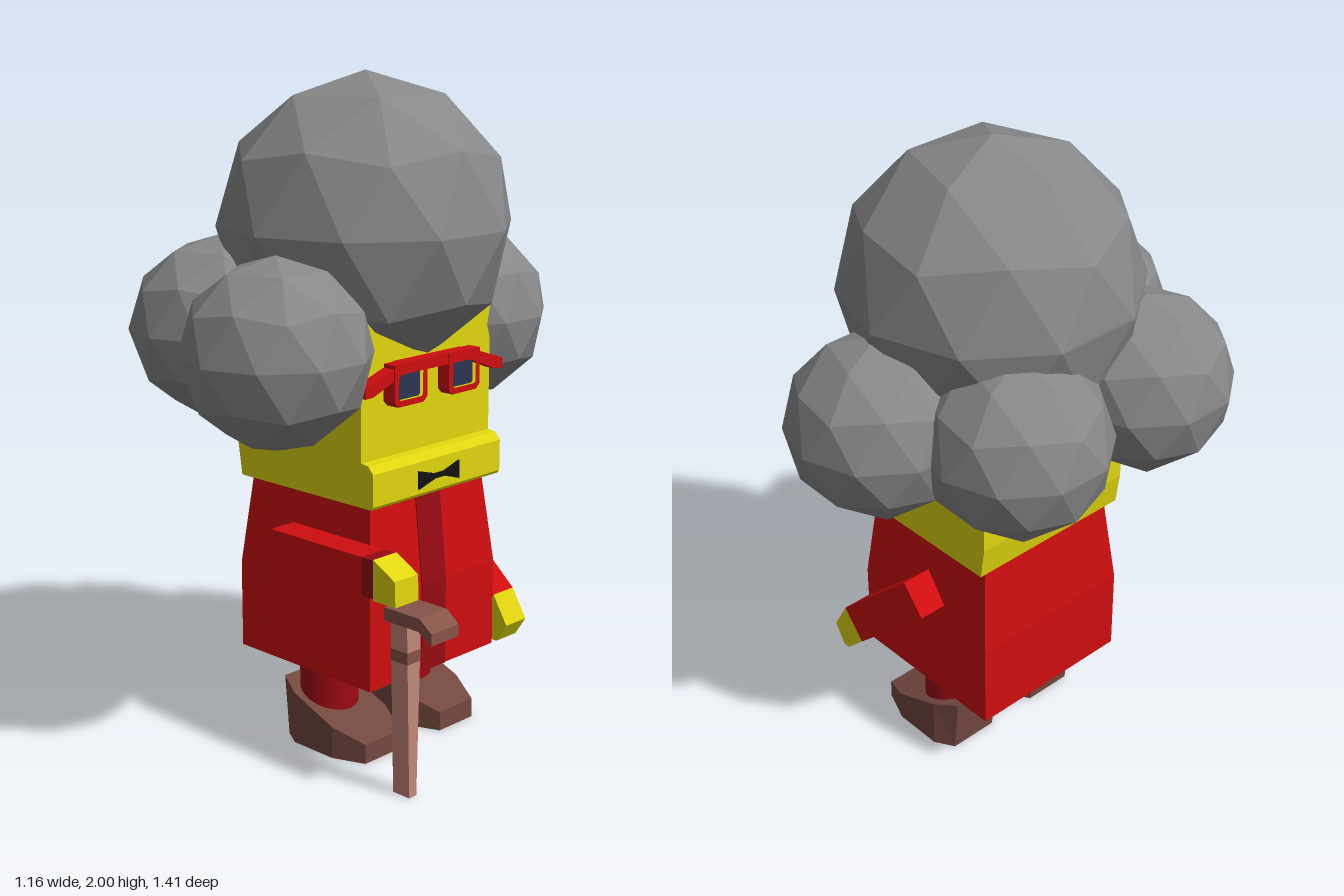
import * as THREE from 'three';

const mat = (color) => new THREE.MeshStandardMaterial({ color, flatShading: true, roughness: 1 });

export function createModel() {
  const group = new THREE.Group();
  const midZ = -0.04; // the figure looks along +x, its middle plane is z = -0.04
  const red = mat(0xcf0d10), darkRed = mat(0x960a12), yellow = mat(0xe0d50e);
  const hairGrey = mat(0x888888), shoeBrown = mat(0x74493f), handleBrown = mat(0x865448);
  const tan = mat(0xc4877a), black = mat(0x111111), navy = mat(0x2b3652);

  const add = (name, geometry, material) => {
    const mesh = new THREE.Mesh(geometry, material);
    mesh.name = name;
    group.add(mesh);
    return mesh;
  };
  const shapeOf = (pts) => new THREE.Shape(pts.map(([a, b]) => new THREE.Vector2(a, b)));
  // Side profile in x, y swept from z0 to z1
  const profile = (pts, z0, z1) =>
    new THREE.ExtrudeGeometry(shapeOf(pts), { depth: z1 - z0, bevelEnabled: false }).translate(0, 0, z0);
  // Front profile in z, y swept from x0 to x1
  const facing = (pts, x0, x1, holes = []) => {
    const shape = shapeOf(pts.map(([z, y]) => [-z, y]));
    holes.forEach((h) => shape.holes.push(shapeOf(h.map(([z, y]) => [-z, y]))));
    return new THREE.ExtrudeGeometry(shape, { depth: x1 - x0, bevelEnabled: false })
      .rotateY(Math.PI / 2).translate(x0, 0, 0);
  };
  const moveVertices = (geometry, rule) => {
    const p = geometry.attributes.position;
    const v = new THREE.Vector3();
    for (let i = 0; i < p.count; i++) {
      rule(v.fromBufferAttribute(p, i));
      p.setXYZ(i, v.x, v.y, v.z);
    }
    geometry.computeVertexNormals();
    return geometry;
  };

  // Hair: faceted balls with a corner pointing up
  const tilt = Math.atan(2 / (1 + Math.sqrt(5)));
  [
    ['hairTop', -0.016, 1.56, -0.04, 0.44],
    ['hairRightFront', 0.1, 1.253, 0.43, 0.273],
    ['hairRightBack', -0.32, 1.253, 0.262, 0.273],
    ['hairLeftBack', -0.32, 1.253, -0.228, 0.273],
    ['hairLeftFront', 0.01, 1.253, -0.435, 0.273],
  ].forEach(([name, x, y, z, r]) =>
    add(name, new THREE.IcosahedronGeometry(r, 1).rotateZ(tilt).translate(x, y, z), hairGrey));

  // Head with its protruding mouth ledge
  add('head', profile([
    [-0.265, 0.8], [0.275, 0.8], [0.282, 0.81], [0.282, 0.905], [0.262, 0.927], [0.235, 0.93],
    [0.235, 1.4], [-0.28, 1.4], [-0.28, 0.9],
  ], midZ - 0.276, midZ + 0.276), yellow);
  add('moustache', facing([
    [0.05, 0.825], [0.05, 0.88], [-0.02, 0.86], [-0.06, 0.86],
    [-0.125, 0.88], [-0.125, 0.825], [-0.06, 0.845], [-0.02, 0.845],
  ], 0.27, 0.288), black);

  // Glasses
  add('glassesBar', facing([
    [0.26, 1.125], [0.26, 1.155], [0.105, 1.205], [-0.18, 1.205], [-0.33, 1.155], [-0.33, 1.125],
    [-0.3, 1.125], [-0.18, 1.172], [0.105, 1.172], [0.23, 1.125],
  ], 0.232, 0.275), red);
  const lensOutline = (z, hw, y0, y1, c) => [
    [z - hw + c, y0], [z + hw - c, y0], [z + hw, y0 + c], [z + hw, y1],
    [z - hw, y1], [z - hw, y0 + c],
  ];
  [['right', 0.077], ['left', -0.153]].forEach(([side, z]) => {
    const hole = lensOutline(z, 0.05, 1.098, 1.185, 0.006);
    add(side + 'LensFrame', facing(lensOutline(z, 0.068, 1.08, 1.203, 0.015), 0.232, 0.278, [hole]), red);
    add(side + 'Lens', facing(hole, 0.232, 0.266), navy);
  });

  // Coat: straight below, narrowing to the neck, with a dark front strip
  add('coat', moveVertices(new THREE.BoxGeometry(1, 2, 1, 1, 2, 1), (v) => {
    const half = v.y > 0.5 ? 0.243 : 0.273;
    v.set(-0.005 + Math.sign(v.x) * half, v.y > 0.5 ? 0.8 : v.y < -0.5 ? 0.25 : 0.52,
      midZ + Math.sign(v.z) * half);
  }), red);
  add('coatStrip', profile([
    [0.25, 0.25], [0.271, 0.25], [0.271, 0.52], [0.241, 0.8], [0.22, 0.8],
  ], -0.09, 0.015), darkRed);

  // Right arm, held forward over the cane
  add('rightSleeve', profile([[-0.065, 0.575], [0.305, 0.575], [0.305, 0.688], [-0.065, 0.688]], 0.212, 0.307), red);
  add('rightCuff', profile([[0.305, 0.575], [0.35, 0.575], [0.35, 0.688], [0.305, 0.688]], 0.212, 0.307), darkRed);
  add('rightHand', profile([[0.35, 0.57], [0.435, 0.57], [0.432, 0.645], [0.35, 0.69]], 0.212, 0.307), yellow);

  // Left arm, hanging forward and leaning slightly outwards
  const lean = (g) => moveVertices(g, (v) => { v.z -= (0.65 - v.y) * 0.04; });
  add('leftSleeve', lean(profile([[-0.09, 0.585], [0.195, 0.323], [0.275, 0.41], [-0.01, 0.672]], -0.393, -0.298)), red);
  add('leftHand', lean(profile([[0.195, 0.323], [0.262, 0.26], [0.285, 0.26], [0.325, 0.32], [0.275, 0.41]],
    -0.393, -0.3)), yellow);

  // Legs and shoes
  const legMaterial = new THREE.MeshStandardMaterial({ color: 0x9c0a14, roughness: 1 });
  [['right', 0.127], ['left', -0.203]].forEach(([side, z]) => {
    add(side + 'Leg', new THREE.CylinderGeometry(0.089, 0.089, 0.2, 32).translate(-0.005, 0.16, z), legMaterial);
    // Eight-sided sole raised to a top that slopes down to the toe
    const sole = shapeOf([
      [-0.1, -0.08], [-0.04, -0.115], [0.12, -0.115], [0.22, -0.075],
      [0.22, 0.075], [0.12, 0.115], [-0.04, 0.115], [-0.1, 0.08],
    ]);
    const shoe = new THREE.ExtrudeGeometry(sole, { depth: 1, bevelEnabled: false }).rotateX(-Math.PI / 2);
    moveVertices(shoe, (v) => {
      if (v.y < 0.5) v.y = 0;
      else {
        v.y = 0.185 - (v.x + 0.1) * 0.39;
        if (v.x < -0.09) v.x = -0.117;
      }
    });
    add(side + 'Shoe', shoe.translate(0, 0, z), shoeBrown);
  });

  // Cane: shaft narrowing to the tip, dark band, bent handle
  const caneZ = 0.262;
  const shaftPart = (y0, y1, grow) => moveVertices(new THREE.BoxGeometry(1, 1, 1), (v) => {
    const y = v.y > 0 ? y1 : y0;
    v.set(0.433 + Math.sign(v.x) * (0.031 + grow), y,
      caneZ + Math.sign(v.z) * (0.015 + y * 0.026 + grow));
  });
  add('caneShaft', shaftPart(0, 0.54, 0), tan);
  add('caneBand', shaftPart(0.405, 0.44, 0.001), handleBrown);
  add('caneHandle', profile([
    [0.403, 0.53], [0.53, 0.53], [0.578, 0.5], [0.578, 0.535], [0.535, 0.568], [0.403, 0.568],
  ], caneZ - 0.056, caneZ + 0.056), handleBrown);

  return group;
}
